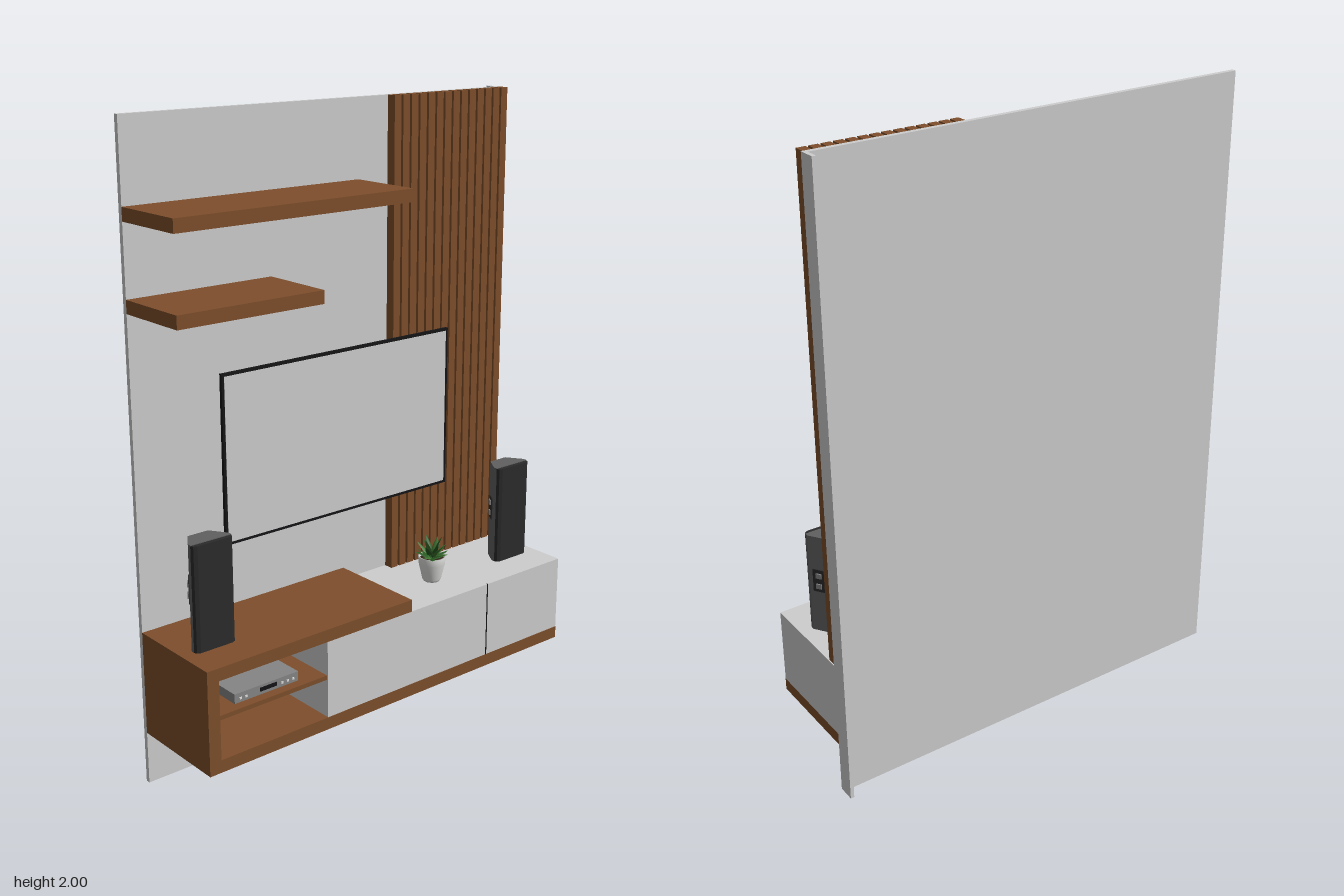
import * as THREE from 'three';

export function createModel() {
  const root = new THREE.Group();
  const mat = (name, color, side = THREE.FrontSide) => {
    const m = new THREE.MeshStandardMaterial({ color, side });
    m.name = name;
    return m;
  };
  const white = mat('pale grey paint', 0xcdcdcd);
  const wood = mat('brown wood', 0x7d4e2b);
  const black = mat('black plastic', 0x141416);
  const cloth = mat('charcoal cloth', 0x2b2b2c);
  const grey = mat('dark grey casing', 0x606060);
  const metal = mat('metal grey', 0x858585);
  const pale = mat('white ceramic', 0xdededc);
  const soilMat = mat('soil', 0x33241a);
  const leafMat = mat('leaf green', 0x285a20, THREE.DoubleSide);
  const leafLight = mat('light leaf green', 0x3f7430, THREE.DoubleSide);

  const add = (name, geo, material, parent = root) => {
    const m = new THREE.Mesh(geo, material);
    m.name = name;
    parent.add(m);
    return m;
  };
  // box given by its limits on each axis
  const box = (name, material, x0, x1, y0, y1, z0, z1, parent = root) => {
    const m = add(name, new THREE.BoxGeometry(x1 - x0, y1 - y0, z1 - z0), material, parent);
    m.position.set((x0 + x1) / 2, (y0 + y1) / 2, (z0 + z1) / 2);
    return m;
  };
  // plan outline in [x, z], extruded upwards from y = 0
  const prism = (points, height) => {
    const shape = new THREE.Shape(points.map(([x, z]) => new THREE.Vector2(x, -z)));
    return new THREE.ExtrudeGeometry(shape, { depth: height, bevelEnabled: false }).rotateX(-Math.PI / 2);
  };

  // wall panel with the return along its left edge
  box('wallPanel', white, -0.717, 0.717, 0, 2, -0.155, -0.14);
  box('wallReturn', white, 0.705, 0.717, 0, 2, -0.195, -0.155);

  // vertical slats
  const slats = new THREE.Group();
  slats.name = 'slats';
  root.add(slats);
  for (let i = 0; i < 14; i++) {
    const x = 0.232 + i * 0.035;
    box('slat', wood, x, x + 0.027, 0.46, 2, -0.14, -0.108, slats);
  }

  // floating shelves
  box('upperShelf', wood, -0.717, 0.115, 1.715, 1.755, -0.14, 0.11);
  box('lowerShelf', wood, -0.717, -0.22, 1.46, 1.5, -0.14, 0.11);

  // media cabinet: wooden wrap, pale cupboards, open niche
  box('cabinetBase', wood, -0.717, 0.717, 0.17, 0.21, -0.14, 0.195);
  box('cabinetSide', wood, -0.717, -0.677, 0.21, 0.46, -0.14, 0.195);
  box('cabinetTop', wood, -0.717, 0.05, 0.46, 0.5, -0.14, 0.195);
  box('cupboards', white, -0.285, 0.717, 0.21, 0.46, -0.14, 0.194);
  box('doorGap', black, 0.379, 0.383, 0.21, 0.46, 0.19, 0.195);
  box('nicheShelf', wood, -0.677, -0.285, 0.334, 0.348, -0.14, 0.19);

  // media player
  const player = new THREE.Group();
  player.name = 'mediaPlayer';
  root.add(player);
  box('playerCase', metal, -0.605, -0.375, 0.352, 0.382, 0.05, 0.165, player);
  box('playerDisplay', black, -0.515, -0.455, 0.362, 0.374, 0.163, 0.167, player);
  for (const x of [-0.585, -0.565, -0.435, -0.415, -0.395])
    box('playerButton', pale, x - 0.004, x + 0.004, 0.362, 0.368, 0.163, 0.168, player);
  for (const x of [-0.59, -0.39])
    for (const z of [0.065, 0.15]) box('playerFoot', black, x - 0.008, x + 0.008, 0.348, 0.352, z - 0.008, z + 0.008, player);

  // television with a tapering rear housing
  const tv = new THREE.Group();
  tv.name = 'television';
  root.add(tv);
  box('tvFrame', black, -0.45, 0.443, 0.724, 1.254, -0.09, -0.08, tv);
  box('tvScreen', white, -0.441, 0.434, 0.733, 1.245, -0.082, -0.079, tv);
  const housing = prism([[-0.445, -0.089], [0.438, -0.089], [0.28, -0.107], [0.11, -0.12], [-0.117, -0.12], [-0.287, -0.107]], 0.43);
  add('tvHousing', housing, [white, grey], tv).position.y = 0.738;

  // tapered speakers, wide at the front
  const speaker = (name, x, y) => {
    const g = new THREE.Group();
    g.name = name;
    g.position.set(x, y, 0);
    root.add(g);
    add('speakerBody', prism([[-0.07, 0.07], [0.07, 0.07], [0.07, 0.058], [0.035, 0.005], [-0.035, 0.005], [-0.07, 0.058]], 0.33), grey, g);
    add('speakerGrille', prism([[-0.07, 0.07], [-0.066, 0.079], [-0.055, 0.084], [0.055, 0.084], [0.066, 0.079], [0.07, 0.07]], 0.328), cloth, g);
    for (const s of [-1, 1]) {
      // connector plate on each slanted side
      const plate = new THREE.Group();
      plate.name = 'connectorPlate';
      plate.position.set(s * 0.0535, 0.18, 0.0315);
      plate.rotation.y = s * (Math.PI / 2 + Math.atan2(0.035, 0.053));
      g.add(plate);
      box('plate', cloth, -0.02, 0.02, -0.038, 0.038, -0.001, 0.002, plate);
      for (const y2 of [-0.018, 0.018]) box('terminal', metal, -0.009, 0.009, y2 - 0.008, y2 + 0.008, 0.001, 0.006, plate);
    }
  };
  speaker('rightSpeaker', -0.605, 0.5);
  speaker('leftSpeaker', 0.605, 0.46);

  // potted plant
  const plant = new THREE.Group();
  plant.name = 'pottedPlant';
  plant.position.set(0.267, 0.46, 0.05);
  root.add(plant);
  const profile = [[0, 0], [0.026, 0], [0.031, 0.008], [0.043, 0.06], [0.045, 0.085], [0.041, 0.085], [0.039, 0.075]];
  add('pot', new THREE.LatheGeometry(profile.map(([r, y]) => new THREE.Vector2(r, y)), 24), pale, plant);
  const soil = add('soil', new THREE.CircleGeometry(0.04, 20).rotateX(-Math.PI / 2), soilMat, plant);
  soil.position.y = 0.076;
  // pointed leaf, flattened and folded along its middle
  const leafGeo = (length, width) => {
    const s = new THREE.PlaneGeometry(width, length, 2, 5).translate(0, length / 2, 0);
    const p = s.attributes.position;
    for (let i = 0; i < p.count; i++) {
      const t = p.getY(i) / length;
      const x = p.getX(i) * (0.5 + 1.6 * t) * (1 - t) * 1.5;
      p.setXYZ(i, x, p.getY(i), Math.abs(x) * 0.5 + 0.012 * t * t);
    }
    s.computeVertexNormals();
    return s;
  };
  [[9, 0.062, 0.95], [8, 0.07, 0.6], [6, 0.076, 0.28]].forEach(([count, length, tilt], ring) => {
    for (let i = 0; i < count; i++) {
      const leaf = add('leaf', leafGeo(length * (1 - 0.12 * (i % 2)), 0.019), i % 3 === 1 ? leafLight : leafMat, plant);
      leaf.position.y = 0.076 + ring * 0.004;
      leaf.rotation.set(tilt + 0.1 * (i % 3), (i / count) * Math.PI * 2 + ring * 0.4, 0, 'YXZ');
    }
  });

  return root;
}
